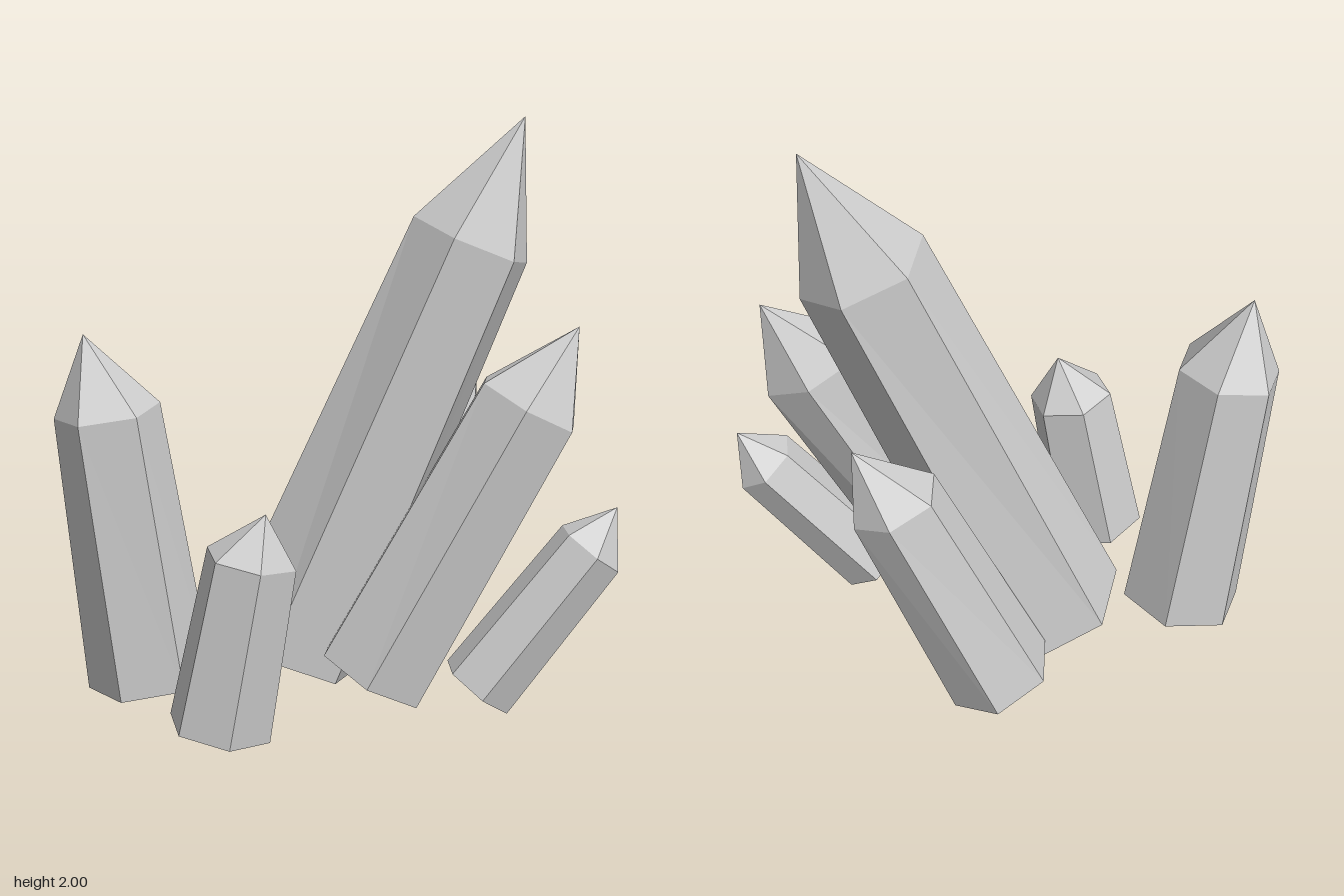
import * as THREE from 'three';

const SIDES = 6;

// Each crystal: centres of the base ring and shoulder ring, tip point,
// base radius, shoulder radii (one per corner, or one for all) and turn in degrees.
const CRYSTALS = [
  { name: 'tallCrystal', base: [-0.145, 0.105, -0.125], shoulder: [0.488, 1.58, -0.12], tip: [0.67, 2, -0.13],
    baseRadius: 0.268, radii: [0.22, 0.25, 0.222, 0.24, 0.22, 0.223], turn: 52 },
  { name: 'frontCrystal', base: [0.135, 0.098, 0.145], shoulder: [0.655, 1.057, 0.15], tip: [0.83, 1.315, 0.12],
    baseRadius: 0.21, radii: [0.197, 0.2, 0.19, 0.19, 0.172, 0.205], turn: 42 },
  { name: 'backCrystal', base: [0.08, 0.072, -0.435], shoulder: [0.43, 0.865, -0.43], tip: [0.56, 1.065, -0.415],
    baseRadius: 0.195, radii: [0.15, 0.15, 0.161, 0.165, 0.152, 0.158], turn: 40 },
  { name: 'rightCrystal', base: [-0.645, 0.033, -0.04], shoulder: [-0.775, 1.015, -0.018], tip: [-0.845, 1.285, 0],
    baseRadius: 0.22, radii: [0.2, 0.195, 0.18, 0.183, 0.184, 0.187], turn: 56 },
  { name: 'smallFrontCrystal', base: [-0.4, 0.035, 0.445], shoulder: [-0.29, 0.625, 0.46], tip: [-0.243, 0.78, 0.483],
    baseRadius: 0.178, radii: [0.155], turn: 20 },
  { name: 'smallLeftCrystal', base: [0.485, 0.082, 0.25], shoulder: [0.865, 0.57, 0.243], tip: [0.955, 0.712, 0.235],
    baseRadius: 0.138, radii: [0.125], turn: 30 },
];

// Six-sided tapered prism along a leaning axis, closed by a point and a flat base
function crystalGeometry({ base, shoulder, tip, baseRadius, radii, turn }) {
  const bottom = new THREE.Vector3(...base);
  const top = new THREE.Vector3(...shoulder);
  const apex = new THREE.Vector3(...tip);
  const axis = top.clone().sub(bottom).normalize();
  const u = new THREE.Vector3(1, 0, 0).addScaledVector(axis, -axis.x).normalize();
  const w = u.clone().cross(axis);

  const ring = (centre, radiusAt) => Array.from({ length: SIDES }, (_, i) => {
    const angle = THREE.MathUtils.degToRad(turn + (i * 360) / SIDES);
    return centre.clone()
      .addScaledVector(u, Math.cos(angle) * radiusAt(i))
      .addScaledVector(w, Math.sin(angle) * radiusAt(i));
  });
  const low = ring(bottom, () => baseRadius);
  const high = ring(top, (i) => radii[i % radii.length]);

  const points = [];
  for (let i = 0; i < SIDES; i++) {
    const j = (i + 1) % SIDES;
    points.push(low[i], high[i], high[j], low[i], high[j], low[j]); // side
    points.push(high[i], apex, high[j]); // point
    points.push(low[i], low[j], bottom); // base
  }
  // Unshared corners keep every facet flat
  const geometry = new THREE.BufferGeometry().setFromPoints(points);
  geometry.computeVertexNormals();
  return geometry;
}

export function createModel() {
  const group = new THREE.Group();
  group.name = 'crystalCluster';
  const crystalGrey = new THREE.MeshStandardMaterial({ color: 0xcccccc });
  crystalGrey.name = 'crystalGrey';

  for (const crystal of CRYSTALS) {
    const mesh = new THREE.Mesh(crystalGeometry(crystal), crystalGrey);
    mesh.name = crystal.name;
    group.add(mesh);
  }
  return group;
}
